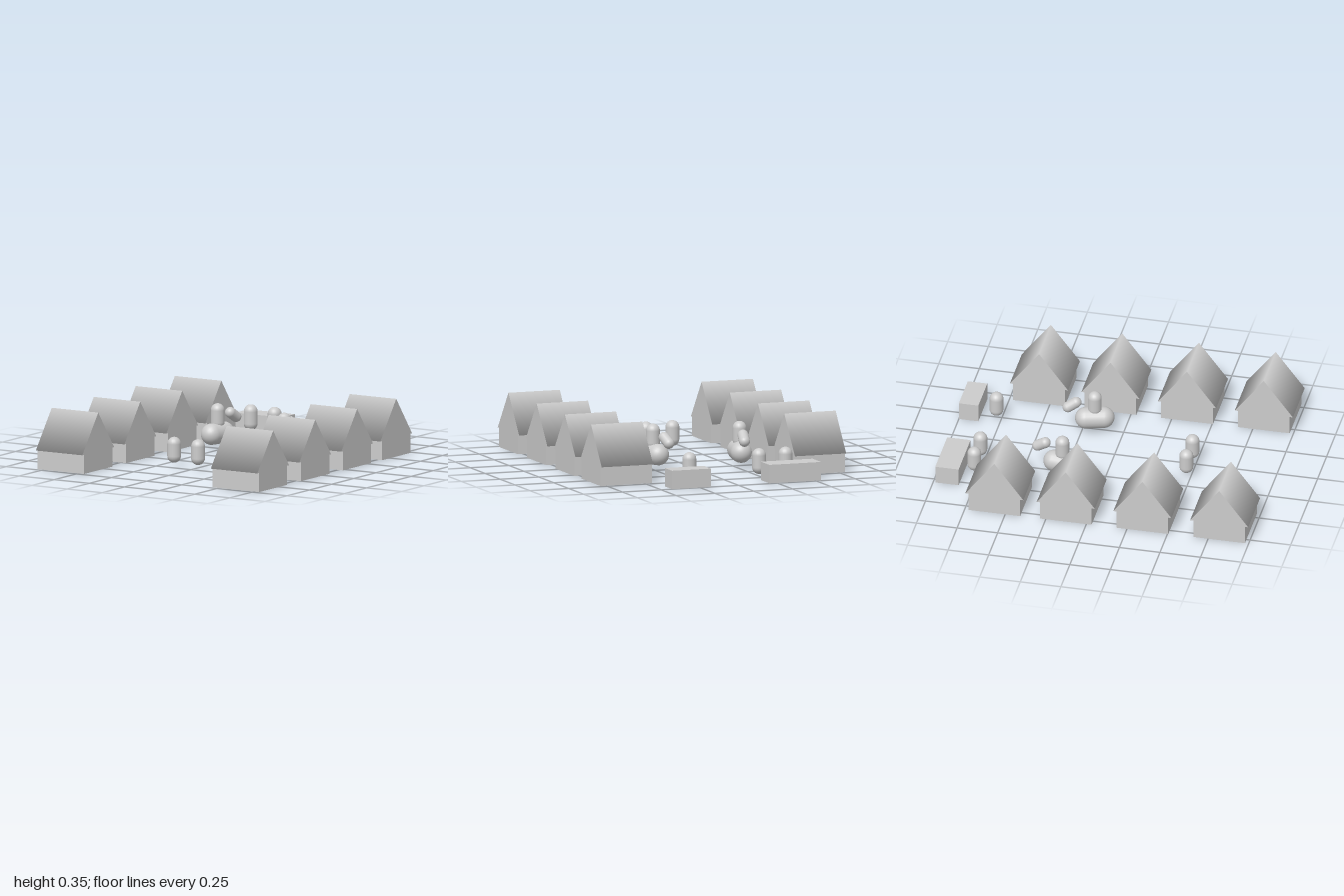
import * as THREE from 'three';

const material = new THREE.MeshStandardMaterial({ color: 0xcccccc });

function part(name, geometry, x, y, z) {
  const mesh = new THREE.Mesh(geometry, material);
  mesh.name = name;
  mesh.position.set(x, y, z);
  return mesh;
}

// Box resting on the ground
function block(name, w, h, d, x, z) {
  return part(name, new THREE.BoxGeometry(w, h, d), x, h / 2, z);
}

function capsule(name, radius, length, x, y, z) {
  return part(name, new THREE.CapsuleGeometry(radius, length, 8, 20), x, y, z);
}

// House: box walls under a three-sided prism roof with its ridge along x
function house(x, z) {
  const group = new THREE.Group();
  group.name = 'house';
  const r = 0.157;
  const roof = new THREE.CylinderGeometry(r, r, 0.331, 3, 1, false, Math.PI / 2);
  roof.rotateZ(Math.PI / 2);
  roof.scale(1, 1, 0.179 / (r * Math.sin(Math.PI / 3)));
  group.add(
    block('walls', 0.33, 0.118, 0.318, 0, 0),
    part('roof', roof, 0, 0.352 - r, 0)
  );
  group.position.set(x, 0, z);
  return group;
}

// Rider on a mount whose head points towards -z before turning
function mountedRider(x, z, yaw) {
  const group = new THREE.Group();
  group.name = 'mountedRider';
  const body = capsule('mountBody', 0.065, 0.108, 0, 0.091, 0);
  body.rotation.x = Math.PI / 2;
  const head = capsule('mountHead', 0.033, 0.058, 0, 0.188, -0.137);
  head.rotation.x = 1.0;
  group.add(body, head, capsule('rider', 0.042, 0.073, 0, 0.195, 0));
  group.position.set(x, 0, z);
  group.rotation.y = yaw;
  return group;
}

export function createModel() {
  const model = new THREE.Group();
  model.name = 'village';

  // Two rows of houses along the street
  for (const x of [-0.625, 0.62]) {
    for (const z of [-0.567, -0.127, 0.345, 0.818]) model.add(house(x, z));
  }

  // Stalls at the far end
  model.add(
    block('wideStall', 0.334, 0.112, 0.144, -0.369, -0.915),
    block('narrowStall', 0.25, 0.112, 0.12, 0.305, -0.94)
  );

  // Standing villagers
  const villagers = [[-0.385, -0.78], [-0.215, -0.78], [0.234, -0.78], [-0.138, 0.472], [0.032, 0.472]];
  for (const [x, z] of villagers) model.add(capsule('villager', 0.042, 0.073, x, 0.106, z));

  // Riders
  model.add(mountedRider(-0.29, -0.258, -0.18), mountedRider(0.236, -0.175, 0.27));

  return model;
}
